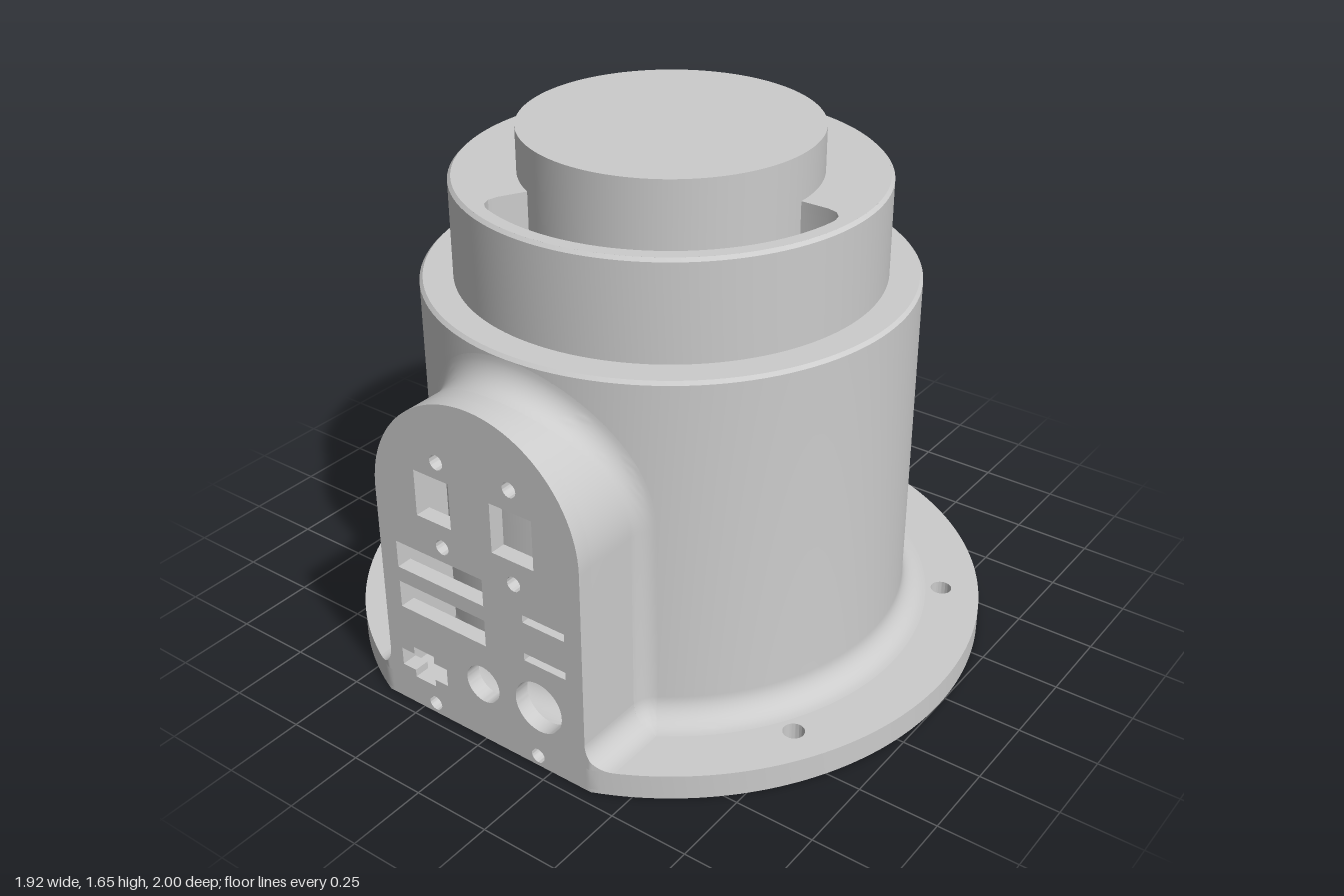
import * as THREE from 'three';
import { toCreasedNormals } from 'three/addons/utils/BufferGeometryUtils.js';

const FILLET = 0.08, BODY_R = 0.75, FLANGE_H = 0.08;
const ARCH_W = 0.375, ARCH_Y = 0.735, FACE_X = -0.92, PANEL_T = 0.05;
const grey = new THREE.MeshStandardMaterial({ color: 0xcccccc, side: THREE.DoubleSide });

export function createModel() {
  const model = new THREE.Group();
  model.name = 'housing';
  const add = (name, geo) => {
    const mesh = new THREE.Mesh(toCreasedNormals(geo, 0.5), grey);
    mesh.name = name;
    mesh.position.x = -0.04;
    model.add(mesh);
  };
  const lathe = pts => new THREE.LatheGeometry(pts.map(p => new THREE.Vector2(...p)), 128);

  // Horizontal slab: outline in (x, z), extruded downwards from the given top
  const slab = (shape, top, depth) => new THREE.ExtrudeGeometry(shape, { depth, bevelEnabled: false, curveSegments: 96 })
    .rotateX(Math.PI / 2).translate(0, top, 0);
  // Upright slab: outline in (z, y), extruded towards -x from the given x
  const upright = (shape, x, depth) => new THREE.ExtrudeGeometry(shape, { depth, bevelEnabled: false, curveSegments: 32 })
    .rotateY(-Math.PI / 2).translate(x, 0, 0);

  // Base flange with its flat side and bolt holes
  const boltHoles = [];
  for (let i = 0; i < 6; i++) {
    if (i === 3) continue;
    const a = i * Math.PI / 3;
    boltHoles.push(circle(0.88 * Math.cos(a), 0.88 * Math.sin(a), 0.033));
  }
  const flange = flangeShape();
  flange.holes.push(...boltHoles);
  add('flange', slab(flange, FLANGE_H, FLANGE_H - 0.012));

  // Underside: rim and cover plate separated by a fine seam
  const rim = flangeShape();
  rim.holes.push(...boltHoles, coverShape(0.785, 0.335));
  add('flangeUnderside', slab(rim, 0.012, 0.012));
  add('bottomCover', slab(coverShape(0.777, 0.327), 0.012, 0.012));

  // Main body with a concave foot and a small top chamfer
  const bodyProfile = [];
  for (let i = 0; i <= 10; i++) {
    const a = i / 10 * Math.PI / 2;
    bodyProfile.push([BODY_R + FILLET - FILLET * Math.sin(a), FLANGE_H + FILLET - FILLET * Math.cos(a)]);
  }
  add('mainBody', lathe([...bodyProfile, [BODY_R, 1.19], [BODY_R - 0.01, 1.2], [0, 1.2]]));

  // Upper tier with a curved slot in its top
  add('upperTierWall', lathe([[0.65, 1.2], [0.65, 1.5], [0.64, 1.51]]));
  const tierTop = circle(0, 0, 0.64);
  tierTop.holes.push(slotShape());
  add('upperTierTop', slab(tierTop, 1.51, 0.305));
  add('topCap', new THREE.CylinderGeometry(0.45, 0.45, 0.45, 128).translate(0, 1.425, 0));

  // Arched side housing and its connector panel
  const shell = archShape(ARCH_W, 0.02);
  shell.holes.push(archShape(ARCH_W - 0.03, 0.05));
  add('sideHousing', upright(shell, -0.62, -FACE_X - PANEL_T - 0.62));
  const panel = archShape(ARCH_W, 0);
  panel.holes.push(
    rect(-0.15, 0.775, 0.13, 0.15), rect(0.14, 0.765, 0.15, 0.16),
    rect(-0.145, 0.53, 0.33, 0.09), rect(-0.145, 0.39, 0.33, 0.09),
    rect(0.24, 0.505, 0.15, 0.025), rect(0.24, 0.375, 0.15, 0.025),
    circle(0, 0.2, 0.062), circle(0.21, 0.215, 0.085), crossShape(-0.235, 0.155));
  for (const [z, y] of [[-0.125, 0.905], [-0.125, 0.625], [0.14, 0.915], [0.14, 0.61], [-0.2, 0.035], [0.2, 0.035]])
    panel.holes.push(circle(z, y, 0.024));
  add('connectorPanel', upright(panel, FACE_X + PANEL_T, PANEL_T));

  // Blends from the side housing to the body and the flange
  add('housingBodyFillet', bodyFillet());
  for (const side of [-1, 1]) add('housingFlangeFillet', flangeFillet(side));
  return model;
}

function circle(x, y, r) {
  const s = new THREE.Shape();
  s.absarc(x, y, r, 0, Math.PI * 2);
  return s;
}

function polygon(points) {
  return new THREE.Shape(points.map(p => new THREE.Vector2(...p)));
}

function rect(x, y, w, h) {
  return polygon([[x - w / 2, y - h / 2], [x + w / 2, y - h / 2], [x + w / 2, y + h / 2], [x - w / 2, y + h / 2]]);
}

// Wide socket with a taller middle
function crossShape(x, y) {
  const q = [[0.09, 0.03], [0.04, 0.03], [0.04, 0.055]];
  const m = (sx, sy) => q.map(p => [x + sx * p[0], y + sy * p[1]]);
  return polygon([...m(1, 1), ...m(-1, 1).reverse(), ...m(-1, -1), ...m(1, -1).reverse()]);
}

// Disc cut flat at the panel, with a shallow notch that holds the panel
function flangeShape() {
  const a = Math.acos(FACE_X), s = new THREE.Shape();
  s.absarc(0, 0, 1, -a, a);
  s.lineTo(FACE_X, ARCH_W);
  s.lineTo(FACE_X + PANEL_T, ARCH_W);
  s.lineTo(FACE_X + PANEL_T, -ARCH_W);
  s.lineTo(FACE_X, -ARCH_W);
  return s;
}

// Disc with a square tab towards the panel
function coverShape(r, w) {
  const a = Math.PI - Math.asin(w / r), s = new THREE.Shape();
  s.absarc(0, 0, r, -a, a);
  s.lineTo(-0.525 - w, w);
  s.lineTo(-0.525 - w, -w);
  return s;
}

function archShape(w, bottom) {
  const s = new THREE.Shape();
  s.moveTo(-w, bottom);
  s.lineTo(w, bottom);
  s.lineTo(w, ARCH_Y);
  s.absarc(0, ARCH_Y, w, 0, Math.PI);
  return s;
}

// Curved slot hugging the cap, with rounded outer corners
function slotShape() {
  const a0 = Math.PI / 2, a1 = Math.PI * 1.155, pts = [];
  const polar = (r, a) => pts.push([r * Math.cos(a), r * Math.sin(a)]);
  const corner = [[0.54, 0], [0.57, 0.015], [0.59, 0.05], [0.598, 0.09]];
  for (const [r, d] of corner) polar(r, a0 + d);
  for (let i = 0; i <= 32; i++) polar(0.6, a0 + 0.12 + (a1 - a0 - 0.24) * i / 32);
  for (const [r, d] of corner.slice().reverse()) polar(r, a1 - d);
  for (let i = 32; i >= 0; i--) polar(0.449, a0 + (a1 - a0) * i / 32);
  return polygon(pts);
}

// Surface through equal-length rows of points
function grid(rows) {
  const n = rows[0].length, index = [];
  for (let i = 0; i < rows.length - 1; i++)
    for (let j = 0; j < n - 1; j++) {
      const a = i * n + j, b = a + n;
      index.push(a, b, a + 1, b, b + 1, a + 1);
    }
  const geo = new THREE.BufferGeometry();
  geo.setAttribute('position', new THREE.Float32BufferAttribute(rows.flat(2), 3));
  geo.setIndex(index);
  return geo;
}

// Rolling-ball blend along the arch, ending in rounded corners at the flange
function bodyFillet() {
  const stations = [], foot = FLANGE_H + FILLET, N = 10;
  for (let i = 0; i <= 6; i++) stations.push([ARCH_W, foot, 1, 0, (1 - i / 6) * Math.PI / 2]);
  for (let i = 0; i <= 48; i++) {
    const t = i / 48 * Math.PI, c = Math.cos(t), s = Math.sin(t);
    stations.push([ARCH_W * c, ARCH_Y + ARCH_W * s, c, s, 0]);
  }
  for (let i = 0; i <= 6; i++) stations.push([-ARCH_W, foot, -1, 0, i / 6 * Math.PI / 2]);
  return grid(stations.map(([z, y, nz, ny, dip]) => {
    const R = BODY_R + FILLET, cz = z + FILLET * nz, cy = y + FILLET * ny, cx = -Math.sqrt(R * R - cz * cz);
    const from = new THREE.Vector3(0, -ny, -nz), to = new THREE.Vector3(-cx / R, 0, -cz / R);
    const angle = from.angleTo(to), row = [];
    for (let j = 0; j <= N; j++) {
      const d = from.clone().multiplyScalar(Math.sin(angle * (1 - j / N)))
        .addScaledVector(to, Math.sin(angle * j / N)).normalize().multiplyScalar(Math.cos(dip));
      d.y -= Math.sin(dip);
      row.push([cx + FILLET * d.x, cy + FILLET * d.y, cz + FILLET * d.z]);
    }
    return row;
  }));
}

// Straight blend beside the housing, trimmed by the flange edge
function flangeFillet(side) {
  const cz = ARCH_W + FILLET, cx = -Math.sqrt((BODY_R + FILLET) ** 2 - cz * cz), rows = [];
  for (let i = 0; i <= 12; i++) {
    const a = i / 12 * Math.PI / 2;
    const z = cz - FILLET * Math.cos(a), y = FLANGE_H + FILLET * (1 - Math.sin(a));
    const end = Math.max(FACE_X, -Math.sqrt(1 - z * z));
    rows.push([[cx, y, side * z], [end, y, side * z], [end, FLANGE_H, side * z]]);
  }
  return grid(rows);
}
